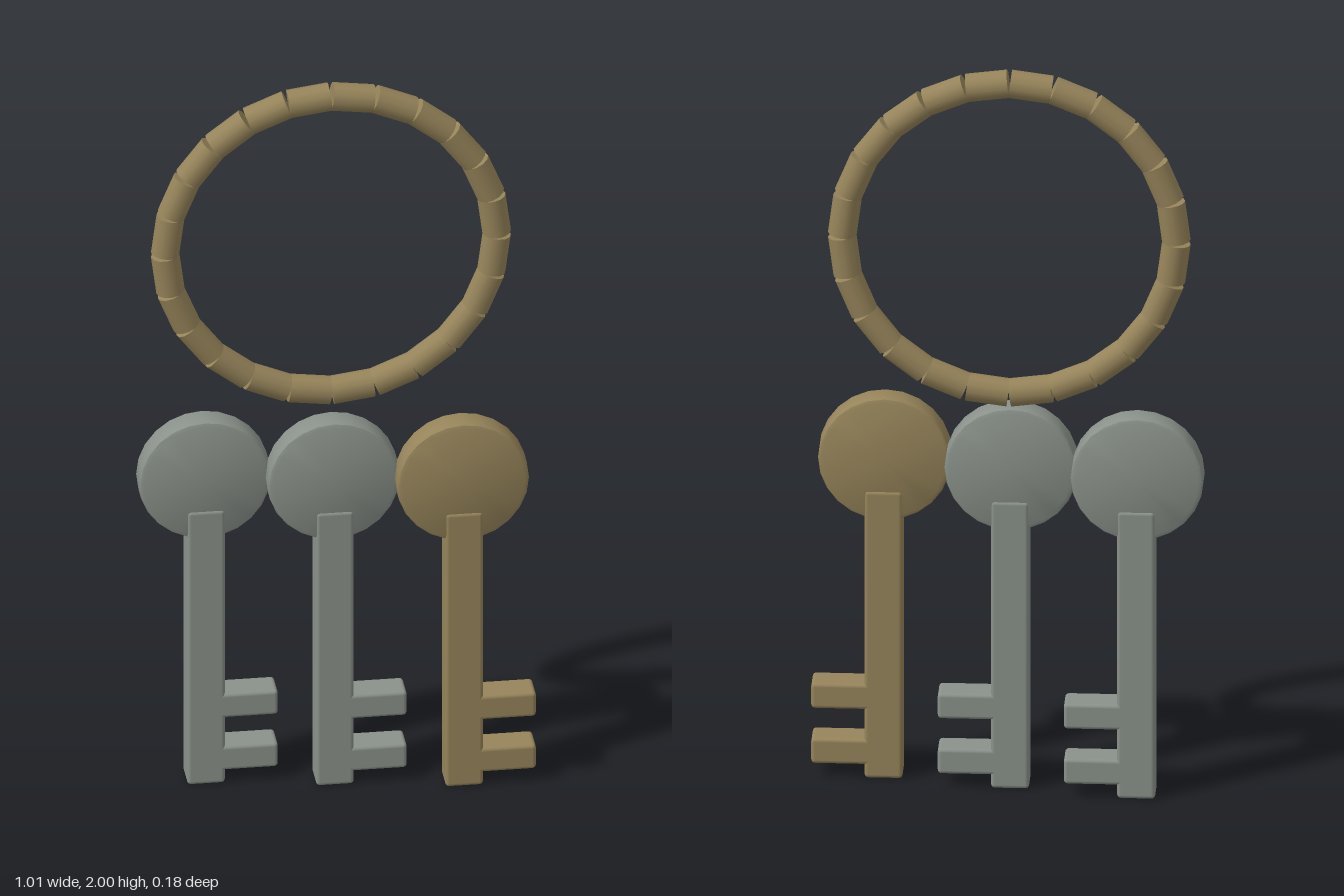
import * as THREE from 'three';
import { toCreasedNormals } from 'three/addons/utils/BufferGeometryUtils.js';
import { RoundedBoxGeometry } from 'three/addons/geometries/RoundedBoxGeometry.js';

const brass = new THREE.MeshStandardMaterial({ color: 0x96845a });
brass.name = 'brass';
const steel = new THREE.MeshStandardMaterial({ color: 0x8a918a });
steel.name = 'steel';

function add(parent, name, geometry, material, x, y, z) {
  const mesh = new THREE.Mesh(geometry, material);
  mesh.name = name;
  mesh.position.set(x, y, z);
  parent.add(mesh);
  return mesh;
}

// Disc facing z with a softened rim
function discGeometry(radius, depth, bevel) {
  const h = depth / 2;
  const k = bevel * 0.3;
  const profile = [
    [0, -h], [radius - bevel, -h], [radius - k, -h + k], [radius, -h + bevel],
    [radius, h - bevel], [radius - k, h - k], [radius - bevel, h], [0, h],
  ].map(([r, y]) => new THREE.Vector2(r, y));
  const disc = new THREE.LatheGeometry(profile, 24);
  disc.rotateX(Math.PI / 2);
  return toCreasedNormals(disc, Math.PI / 5);
}

// Key: round head, straight shaft and two teeth
function createKey(name, material, x, z) {
  const key = new THREE.Group();
  key.name = name;
  key.position.set(x, 0, z);
  add(key, 'keyHead', discGeometry(0.171, 0.076, 0.013), material, 0, 0.885, 0);
  add(key, 'keyShaft', new RoundedBoxGeometry(0.098, 0.798, 0.084, 2, 0.01), material, 0.002, 0.399, 0);
  for (const y of [0.072, 0.225]) {
    add(key, 'keyTooth', new RoundedBoxGeometry(0.17, 0.07, 0.084, 2, 0.01), material, 0.103, y, 0);
  }
  return key;
}

// Ring: straight rods around a circle, open at the outer side of each joint
function createRing() {
  const ring = new THREE.Group();
  ring.name = 'keyRing';
  ring.position.set(-0.006, 1.537, -0.05);
  const count = 24;
  const radius = 0.426;
  const rod = new THREE.CylinderGeometry(0.037, 0.037, 0.108, 12);
  for (let i = 0; i < count; i++) {
    const a = ((i + 0.5) / count) * Math.PI * 2;
    const segment = add(ring, 'ringSegment', rod, brass, Math.cos(a) * radius, Math.sin(a) * radius, 0);
    segment.rotation.z = a;
  }
  return ring;
}

export function createModel() {
  const model = new THREE.Group();
  model.name = 'keysOnRing';
  model.add(
    createRing(),
    createKey('rightKey', steel, -0.336, -0.05),
    createKey('middleKey', steel, -0.009, 0),
    createKey('leftKey', brass, 0.319, 0.05),
  );
  return model;
}
